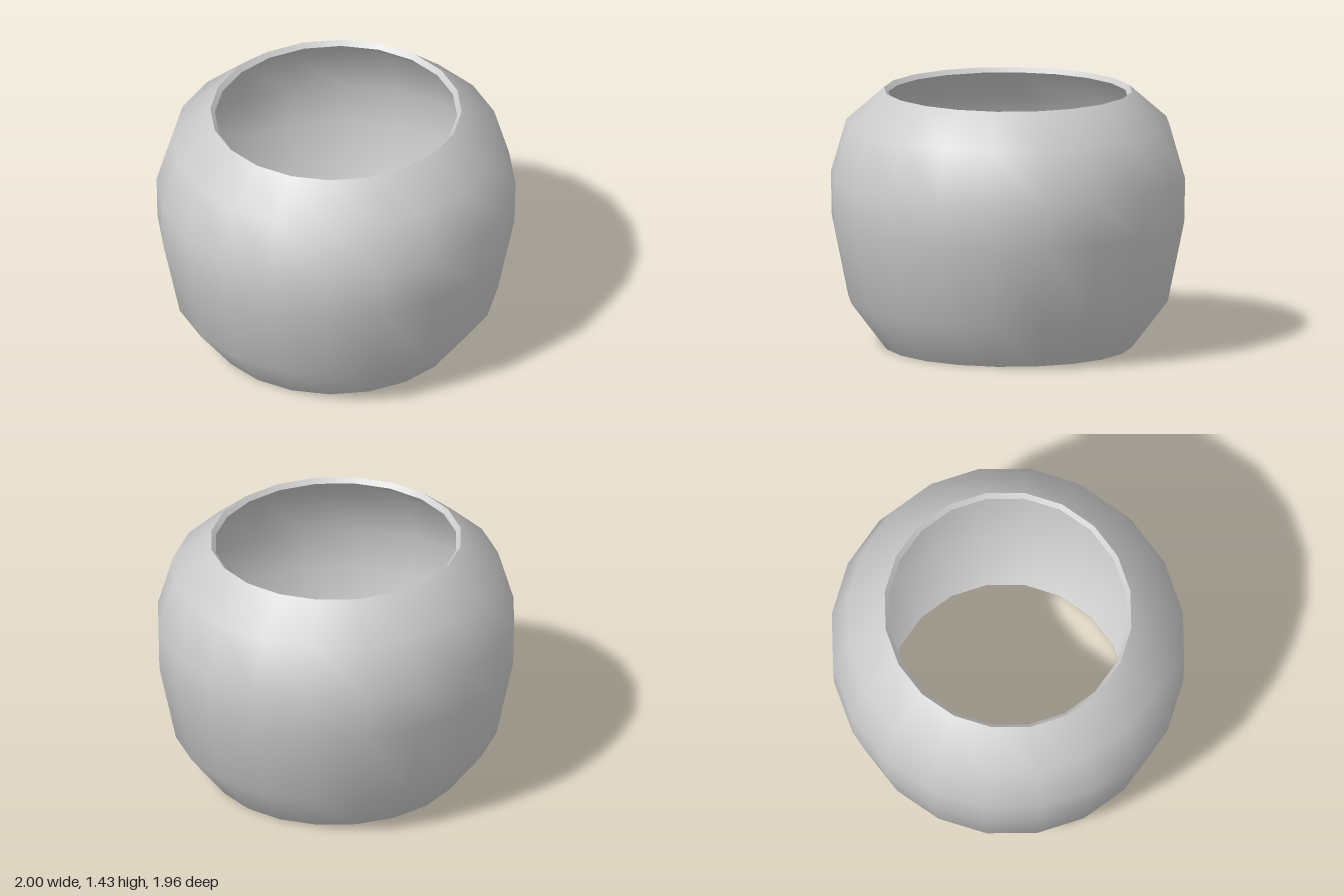
import * as THREE from 'three';

const SIDES = 20;
const DEPTH = 0.978; // slightly narrower front to back

// Profiles as [radius, height], listed bottom to top
const OUTER = [[0.7, 0], [0.902, 0.262], [0.995, 0.71], [1, 0.955], [0.913, 1.25], [0.7, 1.433]];
const INNER = [[0.673, 0.021], [0.87, 0.275], [0.96, 0.715], [0.965, 0.95], [0.884, 1.229], [0.675, 1.408]];

export function createModel() {
  const group = new THREE.Group();
  group.name = 'openBowl';
  const material = new THREE.MeshStandardMaterial({ color: 0xcccccc });

  const addRing = (name, profile) => {
    const points = profile.map(([r, y]) => new THREE.Vector2(r, y));
    const geometry = new THREE.LatheGeometry(points, SIDES);
    geometry.scale(1, 1, DEPTH);
    geometry.computeBoundingSphere();
    const mesh = new THREE.Mesh(geometry, material);
    mesh.name = name;
    group.add(mesh);
  };

  // Rounded wall, open at both ends
  addRing('outerWall', OUTER);
  addRing('innerWall', [...INNER].reverse());

  // Thin bevelled lips joining the two walls
  addRing('topLip', [OUTER.at(-1), INNER.at(-1)]);
  addRing('bottomLip', [INNER[0], OUTER[0]]);

  return group;
}
